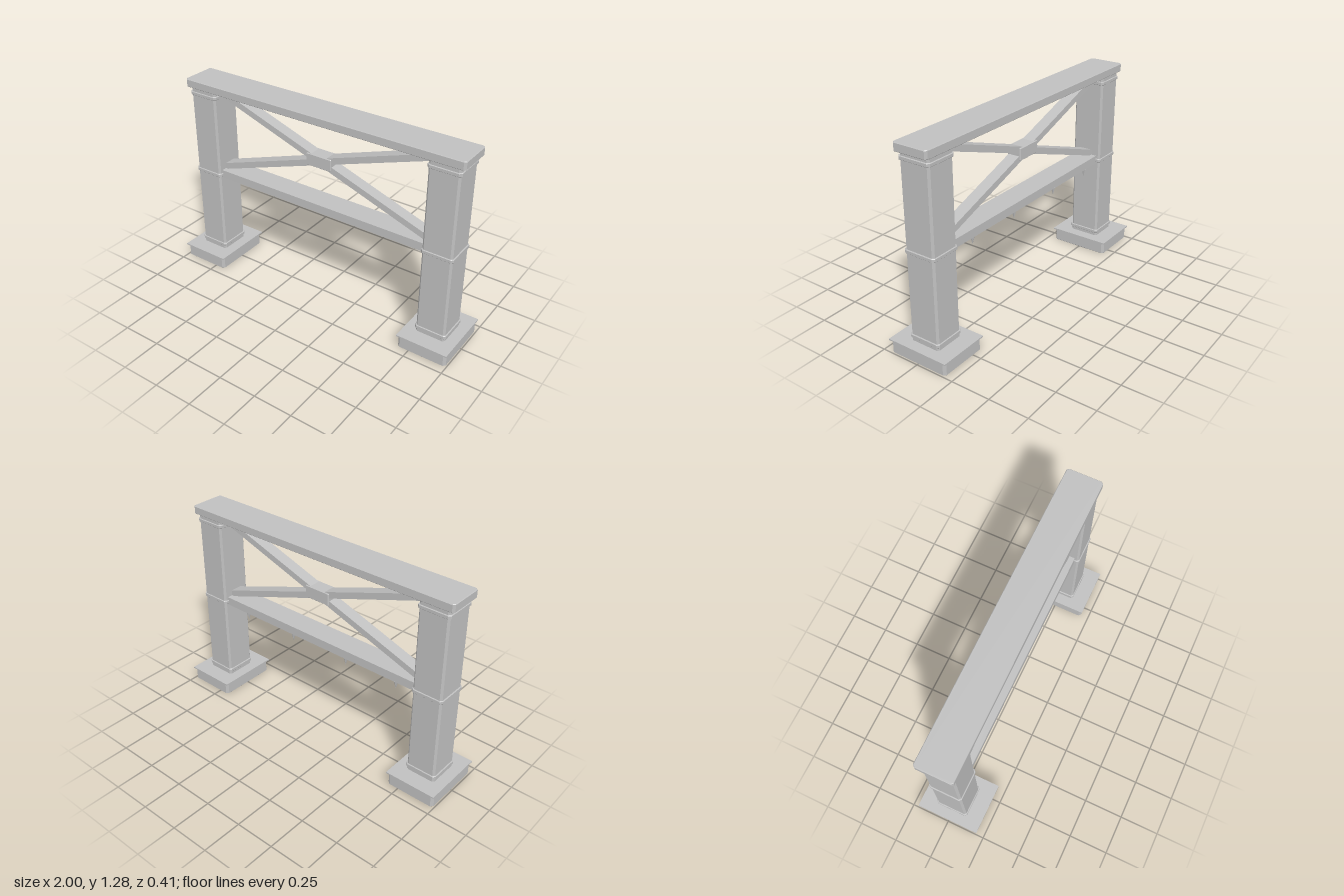
import * as THREE from 'three';

const stone = new THREE.MeshStandardMaterial({ color: 0xc0c0c0 });
stone.name = 'pale grey stone';

// Block standing on y = 0 with cut vertical corners and an optional bevel on top and bottom rims
function block(w, h, d, cut, bevel = 0) {
  const x = w / 2 - bevel, z = d / 2 - bevel;
  const s = new THREE.Shape([
    [-x + cut, -z], [x - cut, -z], [x, -z + cut], [x, z - cut],
    [x - cut, z], [-x + cut, z], [-x, z - cut], [-x, -z + cut],
  ].map(([a, b]) => new THREE.Vector2(a, b)));
  const g = new THREE.ExtrudeGeometry(s, {
    depth: h - 2 * bevel, bevelEnabled: bevel > 0,
    bevelSize: bevel, bevelThickness: bevel, bevelSegments: 1,
  });
  return g.translate(0, 0, bevel).rotateX(-Math.PI / 2);
}

function add(parent, name, geometry, x = 0, y = 0, z = 0) {
  const m = new THREE.Mesh(geometry, stone);
  m.name = name;
  m.position.set(x, y, z);
  parent.add(m);
  return m;
}

function makePost(name) {
  const post = new THREE.Group();
  post.name = name;
  add(post, 'footing', block(0.316, 0.084, 0.394, 0.012, 0.005), 0, 0.003);
  add(post, 'footingPlate', new THREE.BoxGeometry(0.33, 0.008, 0.41), 0, 0.088);
  add(post, 'shaft', block(0.19, 1.14, 0.2, 0.012), 0, 0.085);
  // collars around the shaft
  for (const [y, h] of [[0.112, 0.023], [0.646, 0.023], [1.18, 0.023]])
    add(post, 'collar', block(0.204, h, 0.212, 0.012, 0.003), 0, y);
  return post;
}

export function createModel() {
  const model = new THREE.Group();
  model.name = 'gateFrame';

  for (const side of [-1, 1]) {
    const post = makePost(side > 0 ? 'leftPost' : 'rightPost');
    post.position.x = side * 0.835;
    model.add(post);
  }

  add(model, 'topBeam', block(1.918, 0.052, 0.228, 0.01, 0.004), 0, 1.229);
  add(model, 'lowerBeam', new THREE.BoxGeometry(1.5, 0.054, 0.15), 0, 0.662);

  // crossed braces with a joint block where they meet
  const angle = Math.atan2(0.51, 1.48);
  for (const side of [-1, 1]) {
    const brace = add(model, 'brace', new THREE.BoxGeometry(1.58, 0.04, 0.076), 0, 0.958, 0);
    brace.rotation.z = side * angle;
  }
  add(model, 'joint', block(0.178, 0.078, 0.092, 0.004, 0.003), 0, 0.92);

  // small pointed drips under the rear edge of the lower beam
  for (const x of [-0.605, -0.24, 0.175, 0.565]) {
    const cone = new THREE.ConeGeometry(0.015, 0.052, 6).rotateX(Math.PI).toNonIndexed();
    cone.computeVertexNormals();
    add(model, 'drip', cone, x, 0.612, -0.062);
  }
  return model;
}
